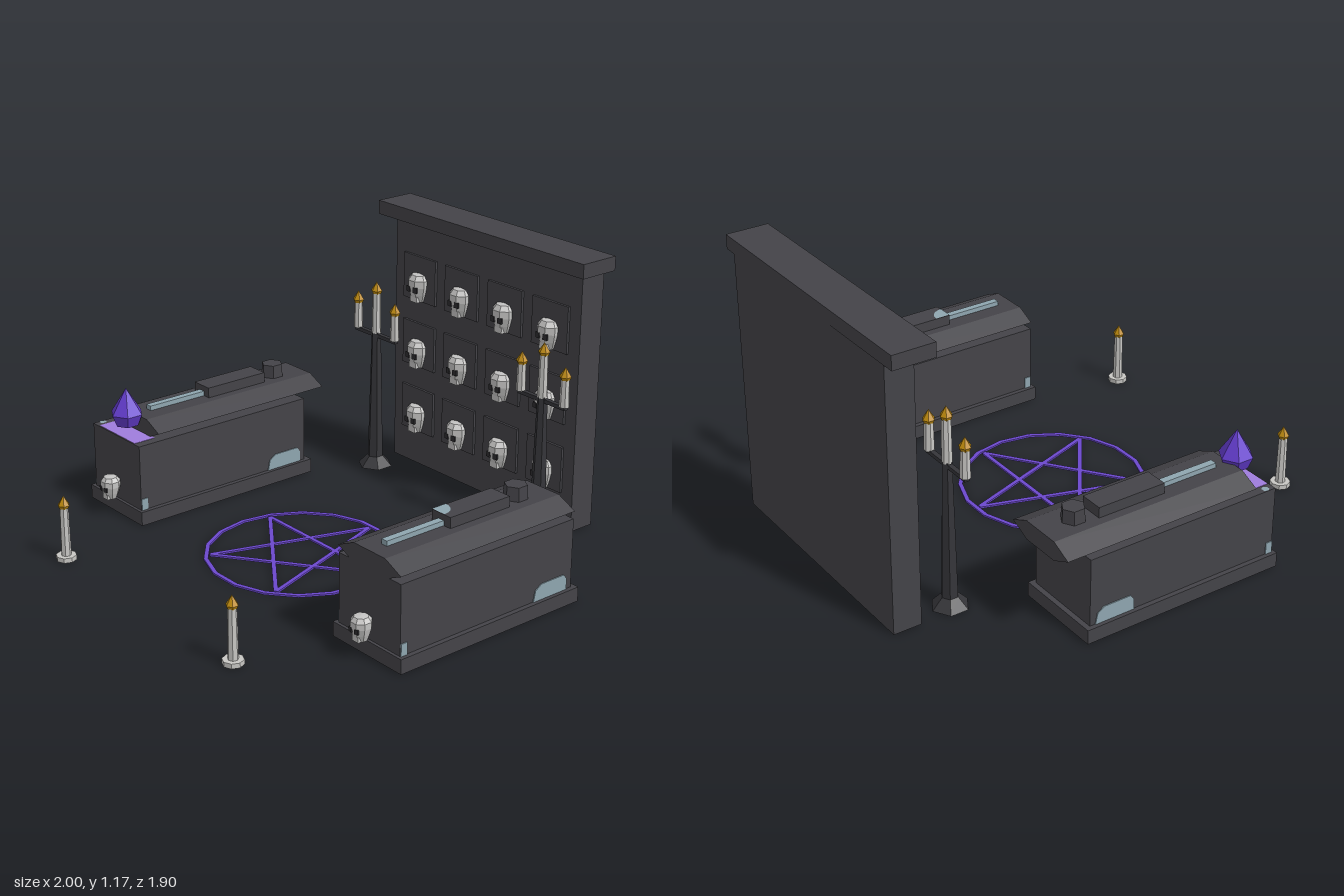
import * as THREE from 'three';

const mat = (name, color) => {
  const m = new THREE.MeshStandardMaterial({ color });
  m.name = name;
  return m;
};

export function createModel() {
  const stone = mat('dark stone', 0x444348);
  const iron = mat('black iron', 0x353539);
  const bone = mat('bone', 0xc4c3c2);
  const wax = mat('candle wax', 0xc8c7c4);
  const socket = mat('socket black', 0x2c2b2e);
  const flame = mat('flame gold', 0xbe8a0c);
  const steel = mat('pale steel', 0x8fa6b0);
  const violet = mat('ritual violet', 0x6b48cc);
  const crystalMat = mat('crystal violet', 0x643cce);
  const glow = mat('glow lilac', 0x9f7cdc);

  const model = new THREE.Group();
  model.name = 'ritualCrypt';

  // Faceted mesh helper
  function add(parent, name, geometry, material, x = 0, y = 0, z = 0) {
    const g = geometry.index ? geometry.toNonIndexed() : geometry;
    g.computeVertexNormals();
    const mesh = new THREE.Mesh(g, material);
    mesh.name = name;
    mesh.position.set(x, y, z);
    parent.add(mesh);
    return mesh;
  }
  const group = (parent, name, x = 0, y = 0, z = 0) => {
    const g = new THREE.Group();
    g.name = name;
    g.position.set(x, y, z);
    parent.add(g);
    return g;
  };
  const box = (w, h, d) => new THREE.BoxGeometry(w, h, d);
  const lathe = (pts, sides) =>
    new THREE.LatheGeometry(pts.map(p => new THREE.Vector2(p[0], p[1])), sides);

  // Skull, 0.125 tall, facing +z
  function skull(parent, x, y, z, s = 1) {
    const g = group(parent, 'skull', x, y, z);
    g.scale.setScalar(s);
    const head = lathe([[0, -0.062], [0.03, -0.062], [0.042, -0.03],
      [0.052, 0.005], [0.052, 0.036], [0.036, 0.057], [0, 0.062]], 8);
    head.rotateY(Math.PI / 8);
    add(g, 'cranium', head, bone);
    for (const side of [-1, 1]) {
      const eye = add(g, 'eyeSocket', box(0.022, 0.024, 0.008), socket, side * 0.02, -0.003, 0.045);
      eye.rotation.y = side * 0.15;
    }
    add(g, 'jaw', box(0.044, 0.026, 0.02), bone, 0, -0.049, 0.026);
  }

  // Candle with flame, standing on y
  function candle(parent, x, y, z, height) {
    const g = group(parent, 'candle', x, y, z);
    add(g, 'waxStick', new THREE.CylinderGeometry(0.018, 0.021, height, 7), wax, 0, height / 2, 0);
    add(g, 'flame', lathe([[0, -0.012], [0.016, -0.006], [0.025, 0.012], [0, 0.052]], 6), flame, 0, height, 0);
  }

  // Niche wall
  const wall = group(model, 'skullWall');
  add(wall, 'wallSlab', box(1.1, 1.12, 0.12), stone, 0, 0.56, -0.893);
  add(wall, 'wallCap', box(1.21, 0.06, 0.18), stone, 0, 1.145, -0.865);
  for (const y of [0.862, 0.56, 0.258]) {
    for (const x of [-0.39, -0.13, 0.13, 0.39]) {
      add(wall, 'nichePanel', box(0.2, 0.2, 0.012), stone, x, y, -0.828);
      skull(wall, x, y - 0.035, -0.825);
    }
  }

  // Stain patch on the side of a tomb
  const stain = new THREE.Shape([[-0.09, 0], [0.085, 0], [0.085, 0.045], [0.07, 0.065],
    [-0.05, 0.065], [-0.08, 0.045]].map(p => new THREE.Vector2(...p)));

  // Stone tomb; lidShift slides the lid along z
  function tomb(name, x, lidShift) {
    const g = group(model, name, x, 0, 0);
    add(g, 'plinth', box(0.38, 0.06, 0.9), stone, 0, 0.03, 0.045);
    add(g, 'chest', box(0.34, 0.285, 0.865), stone, 0, 0.2025, 0.05);
    skull(g, 0, 0.122, 0.52, 0.8);
    for (const side of [-1, 1]) {
      const patch = add(g, 'stain',
        new THREE.ExtrudeGeometry(stain, { depth: 0.006, bevelEnabled: false }),
        steel, side * 0.168, 0.06, -0.27);
      patch.rotation.y = side * Math.PI / 2;
      add(g, 'cornerStain', box(0.006, 0.05, 0.03), steel, side * 0.171, 0.085, 0.466);
    }

    const lid = group(g, 'lid', 0, 0, lidShift);
    const slab = new THREE.CylinderGeometry(1, 1, 0.87, 6);
    slab.rotateY(Math.PI / 2);
    slab.rotateX(Math.PI / 2);
    slab.scale(0.172, 0.046, 1);
    add(lid, 'lidSlab', slab, stone, 0, 0.376, 0.05);
    // Carved figure: head, body and sword
    add(lid, 'effigyHead', new THREE.CylinderGeometry(0.046, 0.05, 0.06, 6), stone, 0, 0.442, -0.24);
    add(lid, 'effigyBody', box(0.1, 0.046, 0.3), stone, 0, 0.437, -0.01);
    add(lid, 'swordBlade', box(0.03, 0.022, 0.28), steel, 0, 0.425, 0.275);
    return g;
  }

  // Closed tomb with a stain on the figure
  const closedTomb = tomb('closedTomb', 0.81, 0);
  const web = new THREE.CircleGeometry(0.068, 5, 0, Math.PI / 2);
  web.rotateX(-Math.PI / 2);
  add(closedTomb, 'figureStain', web, steel, -0.05, 0.462, 0.14);

  // Open tomb with a glow and a crystal
  const openTomb = tomb('openTomb', -0.81, -0.1);
  add(openTomb, 'glowPlate', box(0.26, 0.004, 0.1), glow, 0, 0.3445, 0.428);
  const spot = new THREE.CircleGeometry(0.016, 6);
  spot.rotateX(-Math.PI / 2);
  add(openTomb, 'glowEdgeStain', spot, steel, -0.155, 0.347, 0.445);
  add(openTomb, 'crystal', lathe([[0, 0.38], [0.05, 0.38], [0.07, 0.43], [0, 0.54]], 6),
    crystalMat, 0, 0, 0.425);

  // Candelabra and floor candles on both sides
  for (const side of [-1, 1]) {
    const c = group(model, 'candelabrum', side * 0.505, 0, -0.68);
    add(c, 'foot', new THREE.CylinderGeometry(0.035, 0.077, 0.045, 6), iron, 0, 0.0225, 0);
    add(c, 'post', new THREE.CylinderGeometry(0.021, 0.035, 0.58, 6), iron, 0, 0.335, 0);
    add(c, 'arm', box(0.26, 0.016, 0.02), iron, 0, 0.61, 0);
    candle(c, 0, 0.62, 0, 0.18);
    for (const dx of [-0.12, 0.12]) candle(c, dx, 0.615, 0, 0.115);

    const f = group(model, 'floorCandle', side * 0.555, 0, 0.905);
    add(f, 'drip', new THREE.CylinderGeometry(0.042, 0.042, 0.02, 8), wax, 0, 0.01, 0);
    candle(f, 0, 0.015, 0, 0.21);
  }

  // Flat floor star inside a flat ring
  const star = group(model, 'floorStar', 0, 0, 0.15);
  const ring = lathe([[0.374, 0], [0.392, 0], [0.392, 0.008], [0.374, 0.008], [0.374, 0]], 18);
  ring.rotateY(Math.PI / 18);
  add(star, 'ring', ring, violet);
  const tip = i => {
    const a = -Math.PI / 2 + (i * 2 * Math.PI) / 5;
    return new THREE.Vector2(Math.cos(a), Math.sin(a)).multiplyScalar(0.363);
  };
  for (let i = 0; i < 5; i++) {
    const a = tip(i), b = tip(i + 2);
    const bar = add(star, 'starBar', box(a.distanceTo(b), 0.008, 0.018), violet,
      (a.x + b.x) / 2, 0.004, (a.y + b.y) / 2);
    bar.rotation.y = -Math.atan2(b.y - a.y, b.x - a.x);
  }

  return model;
}
